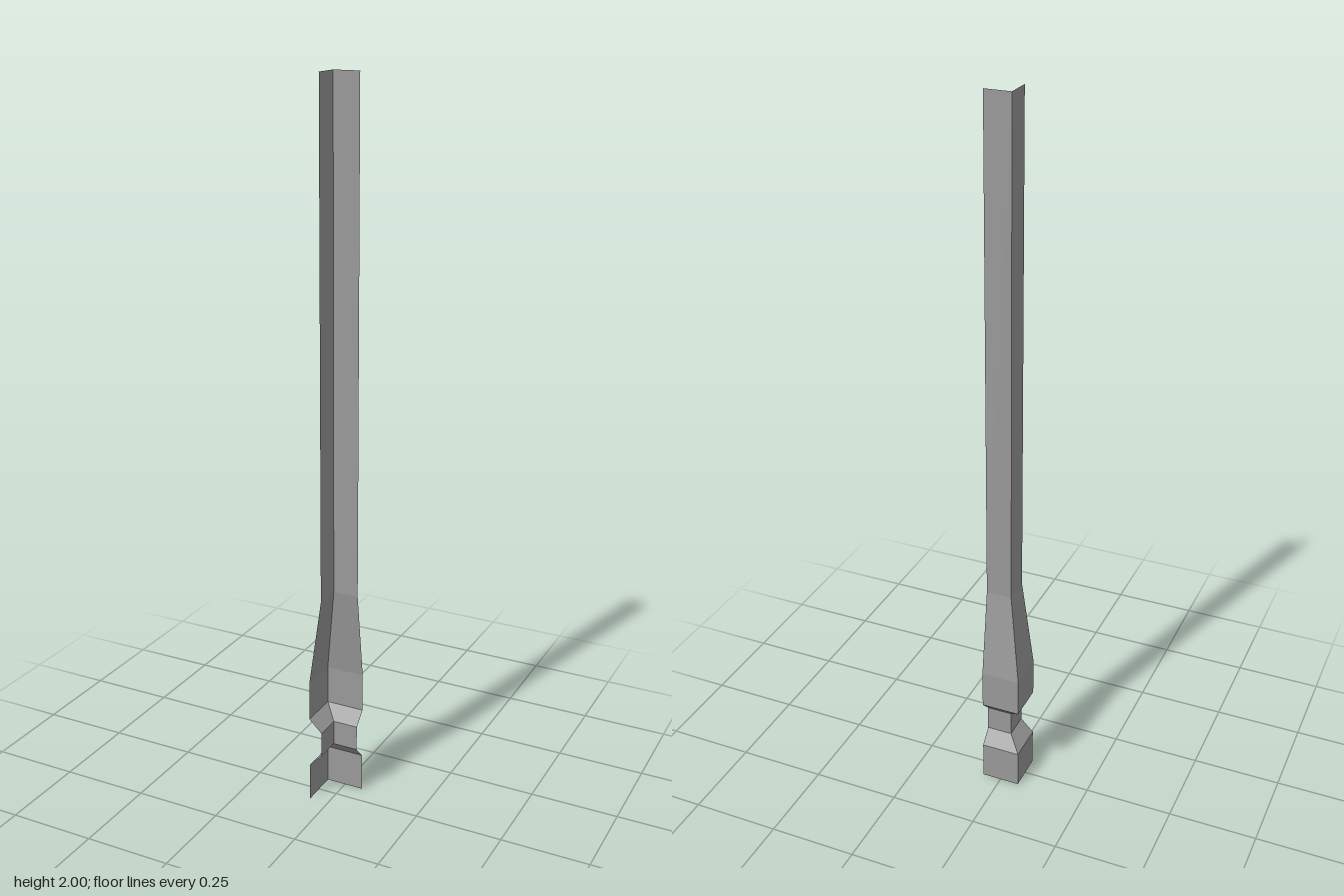
import * as THREE from 'three';

// Height, then x and z of the corner edge at that height
const PROFILE = [
  [0, -0.055, -0.056],
  [0.11, -0.055, -0.056],
  [0.148, -0.018, -0.02],
  [0.22, -0.018, -0.02],
  [0.256, -0.055, -0.056],
  [0.366, -0.055, -0.056],
  [0.62, -0.018, -0.021],
  [2, -0.018, -0.019],
];
const END_X = 0.0545; // free edge of the back face
const END_Z = 0.056; // free edge of the side face

// Folded strip: back face and side face meeting along the corner edge
function foldedStrip(rows) {
  const positions = [];
  const index = [];
  rows.forEach(([y, x, z], i) => {
    positions.push(END_X, y, z, x, y, z, x, y, END_Z);
    if (i === 0) return;
    for (let k = 0; k < 2; k++) {
      const a = (i - 1) * 3 + k;
      const b = a + 3;
      index.push(a, a + 1, b + 1, a, b + 1, b);
    }
  });
  const indexed = new THREE.BufferGeometry();
  indexed.setAttribute('position', new THREE.Float32BufferAttribute(positions, 3));
  indexed.setIndex(index);
  const geometry = indexed.toNonIndexed();
  geometry.computeVertexNormals();
  return geometry;
}

export function createModel() {
  const group = new THREE.Group();
  group.name = 'cornerPost';
  const material = new THREE.MeshStandardMaterial({
    color: 0x9a9a9a,
    flatShading: true,
    side: THREE.DoubleSide,
  });

  // Sections from the floor up, as ranges of profile rows
  const sections = { foot: [0, 1], neck: [1, 4], collar: [4, 6], shaft: [6, 7] };
  for (const [name, [from, to]] of Object.entries(sections)) {
    const mesh = new THREE.Mesh(foldedStrip(PROFILE.slice(from, to + 1)), material);
    mesh.name = name;
    group.add(mesh);
  }
  return group;
}
